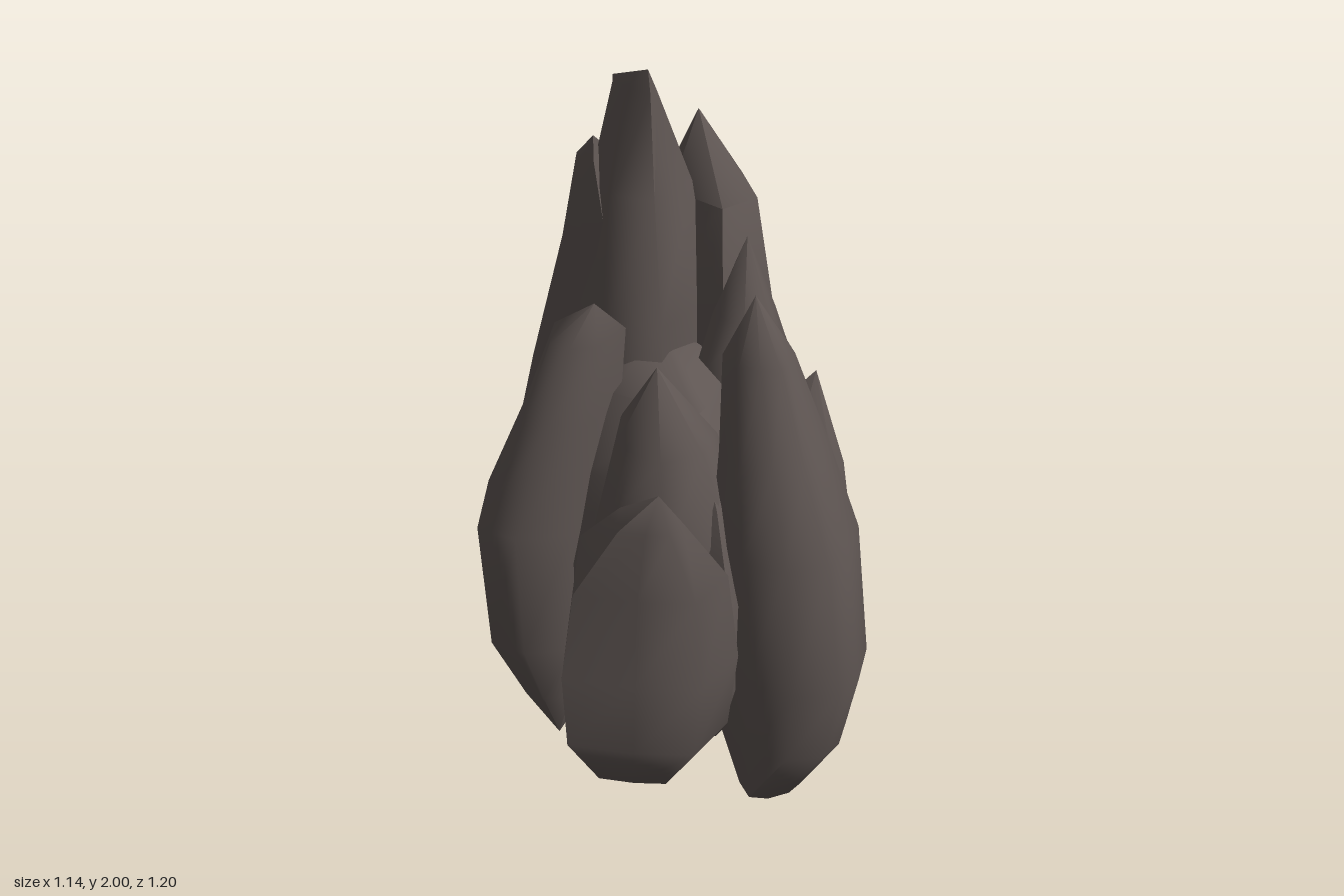
import * as THREE from 'three';
import { toCreasedNormals } from 'three/addons/utils/BufferGeometryUtils.js';

// Each spire: footprint corners [x, z], levels [y, scale, centre x, centre z, own z scale if it differs],
// lower and upper end [x, y, z]
const SPIRES = {
  core: {
    foot: [[-.36, -.08], [-.2, -.32], [-.1, -.45], [.2, -.46], [.38, -.1], [.3, .18], [.2, .23], [-.1, .36], [-.23, .38]],
    levels: [[.23, .76, .01, -.03], [.45, .95, .01, -.03], [.75, .98, .01, -.03], [1, .78, .01, -.04],
      [1.2, .5, 0, -.05]],
    low: [0, .21, -.04], tip: [0, 1.3, -.08],
  },
  frontSpire: {
    foot: [[-.2, .4], [-.16, .24], [.15, .2], [.22, .39], [.13, .54], [.02, .6], [-.06, .6], [-.15, .52]],
    levels: [[.04, .62, -.02, .39, .35], [.24, .88, 0, .42, .8], [.5, 1, 0, .435], [.9, .95, -.01, .41, .85],
      [1.15, .72, -.02, .36, .6], [1.4, .42, -.03, .3]],
    low: [.11, .01, .36], tip: [-.05, 1.57, .28],
  },
  backRightSpire: {
    foot: [[.18, -.41], [.25, -.5], [.35, -.515], [.55, -.45], [.57, -.23], [.51, -.1], [.4, -.04], [.21, -.11]],
    levels: [[.06, .5, .36, -.29], [.35, .97, .376, -.29], [.75, 1, .376, -.294], [1.1, .76, .4, -.3],
      [1.35, .43, .41, -.32]],
    low: [.45, 0, -.34], tip: [.45, 1.53, -.35],
  },
  rightSpire: {
    foot: [[.22, -.06], [.41, -.05], [.505, .09], [.39, .285], [.33, .29], [.2, .2]],
    levels: [[.2, .5, .36, .12], [.38, .92, .35, .12], [.6, 1, .343, .12], [.82, .82, .36, .1]],
    low: [.37, .08, .13], tip: [.4, 1.07, .12],
  },
  frontLeftSpire: {
    foot: [[-.57, .11], [-.36, -.07], [-.2, 0], [-.2, .38], [-.36, .4], [-.47, .27]],
    levels: [[.21, .5, -.38, .18], [.37, .93, -.37, .18], [.6, 1, -.36, .18], [.88, .85, -.37, .2],
      [1.1, .35, -.42, .27]],
    low: [-.4, .2, .18], tip: [-.42, 1.2, .31],
  },
  backLeftSpire: {
    foot: [[-.5, -.26], [-.34, -.39], [-.17, -.32], [-.13, -.08], [-.36, -.06], [-.47, -.15]],
    levels: [[.25, .5, -.33, -.18], [.45, .9, -.33, -.21], [.85, 1, -.328, -.21], [1.15, .65, -.28, -.16],
      [1.38, .48, -.24, -.12]],
    low: [-.34, .08, -.16], tip: [-.23, 1.48, -.08],
  },
  backSpire: {
    foot: [[-.12, -.45], [-.1, -.575], [.11, -.6], [.2, -.46], [.16, -.24], [-.13, -.24]],
    levels: [[.27, .8, .02, -.43], [.5, 1, .02, -.428], [.78, .95, .02, -.41], [1.1, .85, .01, -.35, .75],
      [1.5, .58, 0, -.27, .55], [1.74, .25, -.02, -.28, .2]],
    low: [.02, .08, -.43], tip: [-.04, 1.8, -.26],
  },
  mainPeak: {
    foot: [[-.15, -.15], [-.12, -.3], [.08, -.36], [.2, -.2], [.14, -.01], [-.08, 0]],
    levels: [[.8, 1.1, .01, -.17], [1.35, .88, .025, -.17], [1.68, .65, .035, -.18], [1.94, .12, .02, -.18, .4]],
    low: [.01, .5, -.17], tip: [.01, 2, -.12],
  },
  rightPeak: {
    foot: [[.05, -.2], [.18, -.34], [.34, -.2], [.38, -.08], [.25, .12], [.07, .08]],
    levels: [[.5, 1, .21, -.1], [1.05, 1, .21, -.1], [1.35, .85, .21, -.1], [1.63, .58, .21, -.09]],
    low: [.22, .4, -.1], tip: [.2, 1.83, -.13],
  },
  frontRightPeak: {
    foot: [[-.02, 0], [.15, -.1], [.34, 0], [.3, .19], [.17, .27], [0, .22]],
    levels: [[.3, .85, .15, .08], [.9, 1, .15, .09], [1.15, .8, .15, .09], [1.36, .45, .15, .08]],
    low: [.15, .24, .08], tip: [.15, 1.57, .08],
  },
  leftPeak: {
    foot: [[-.36, .02], [-.18, -.12], [.03, .02], [0, .26], [-.15, .32], [-.32, .24]],
    levels: [[.4, 1, -.16, .12], [.9, .95, -.17, .12], [1.15, .6, -.18, .11]],
    low: [-.15, .3, .1], tip: [-.2, 1.36, .1],
  },
};

// Rings of [x, y, z] corners from the lower end to the upper end
function spireRings({ foot, levels, low, tip }) {
  const n = foot.length;
  const mx = foot.reduce((s, p) => s + p[0], 0) / n;
  const mz = foot.reduce((s, p) => s + p[1], 0) / n;
  const body = levels.map(([y, sx, cx, cz, sz = sx]) =>
    foot.map(([x, z]) => [cx + sx * (x - mx), y, cz + sz * (z - mz)]));
  return [foot.map(() => low), ...body, foot.map(() => tip)];
}

// Closed smooth loft through the rings
function loft(rings) {
  const n = rings[0].length, index = [];
  for (let i = 0; i < rings.length - 1; i++) {
    for (let j = 0; j < n; j++) {
      const a = i * n + j, b = i * n + (j + 1) % n;
      if (i > 0) index.push(a, a + n, b);
      if (i < rings.length - 2) index.push(b, a + n, b + n);
    }
  }
  const geo = new THREE.BufferGeometry();
  geo.setAttribute('position', new THREE.Float32BufferAttribute(rings.flat(2), 3));
  geo.setIndex(index);
  return toCreasedNormals(geo, 1.2);
}

// True where a point lies inside the cross-section of a spire at its height
function isInside([x, y, z], rings) {
  const i = rings.findIndex((r, k) => k > 0 && r[0][1] >= y);
  if (i < 0 || y < rings[0][0][1]) return false;
  const t = (y - rings[i - 1][0][1]) / (rings[i][0][1] - rings[i - 1][0][1]);
  const ring = rings[i].map((p, j) => rings[i - 1][j].map((v, c) => v + (p[c] - v) * t));
  let inside = false;
  ring.forEach(([ax, , az], j) => {
    const [bx, , bz] = ring[(j + 1) % ring.length];
    if ((az > z) !== (bz > z) && x < ax + (bx - ax) * (z - az) / (bz - az)) inside = !inside;
  });
  return inside;
}

// Subdivide a spire and drop the pieces buried in its neighbours
function trimBuried(geo, others) {
  const out = [];
  const mid = (a, b) => a.map((v, c) => (v + b[c]) / 2);
  const split = (a, b, c, depth) => {
    if (others.some(o => isInside(a, o) && isInside(b, o) && isInside(c, o))) return;
    if (depth === 0) { out.push(a, b, c); return; }
    const ab = mid(a, b), bc = mid(b, c), ca = mid(c, a);
    [[a, ab, ca], [ab, b, bc], [ca, bc, c], [ab, bc, ca]].forEach(t => split(...t, depth - 1));
  };
  const { position: p, normal: n } = geo.attributes;
  const corner = i => [p.getX(i), p.getY(i), p.getZ(i), n.getX(i), n.getY(i), n.getZ(i)];
  for (let i = 0; i < p.count; i += 3) split(corner(i), corner(i + 1), corner(i + 2), 3);
  const trimmed = new THREE.BufferGeometry();
  trimmed.setAttribute('position', new THREE.Float32BufferAttribute(out.flatMap(v => v.slice(0, 3)), 3));
  trimmed.setAttribute('normal', new THREE.Float32BufferAttribute(out.flatMap(v => v.slice(3)), 3));
  return trimmed;
}

export function createModel() {
  const group = new THREE.Group();
  group.name = 'rockSpires';
  const rock = new THREE.MeshStandardMaterial({ color: 0x5e5552 });
  rock.name = 'darkRock';
  const all = Object.values(SPIRES).map(spireRings);
  Object.keys(SPIRES).forEach((name, k) => {
    const mesh = new THREE.Mesh(trimBuried(loft(all[k]), all.filter((_, i) => i !== k)), rock);
    mesh.name = name;
    group.add(mesh);
  });
  return group;
}
